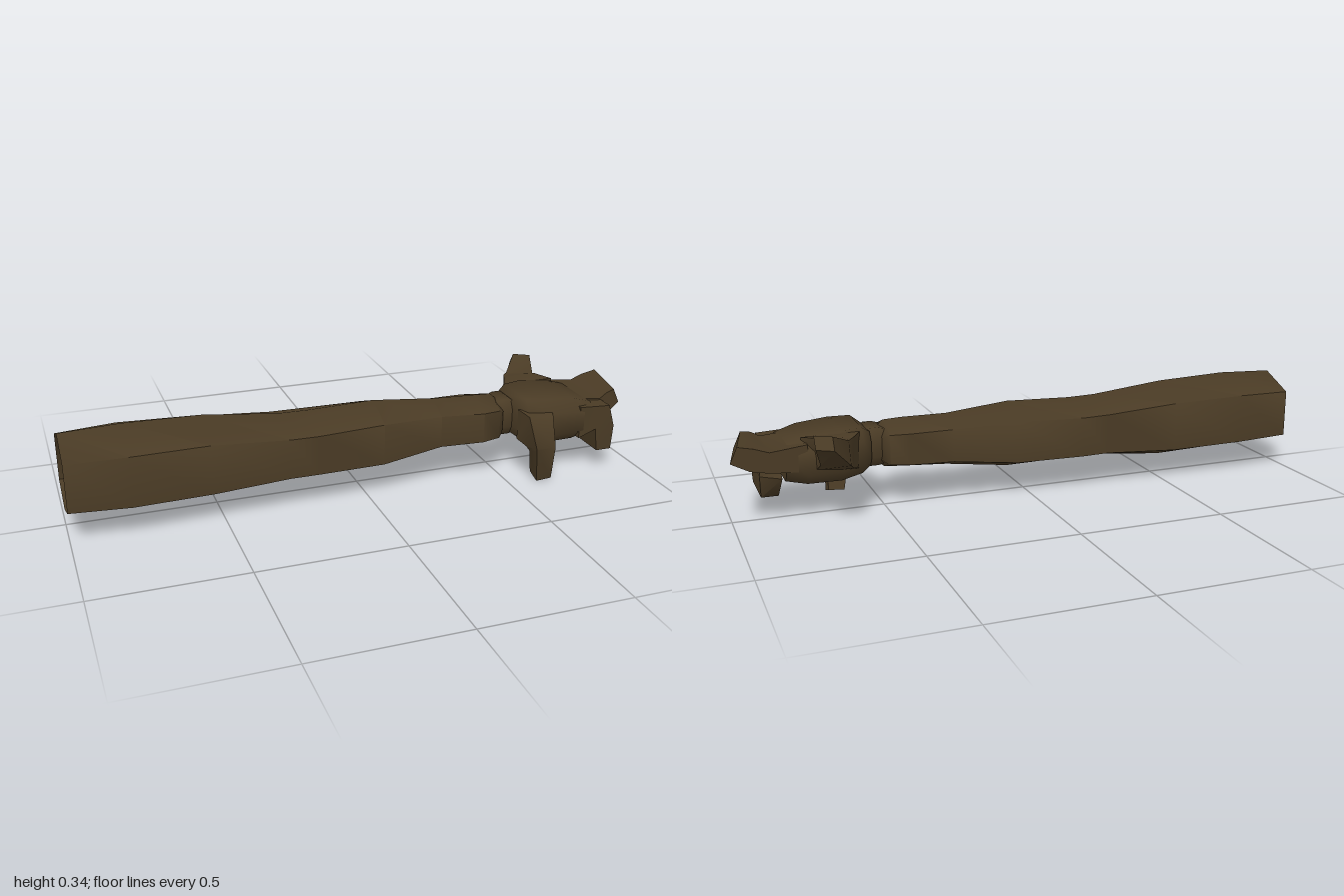
import * as THREE from 'three';
import { toCreasedNormals } from 'three/addons/utils/BufferGeometryUtils.js';

const brown = new THREE.MeshStandardMaterial({ color: 0x4a3b25, side: THREE.DoubleSide });
brown.name = 'dark brown';

// Skin a list of equal-length rings; caps are fans around each end centre.
function loft(name, rings, capStart = true) {
  const n = rings[0].length;
  const centre = (r) => r.reduce((s, p) => s.add(p), new THREE.Vector3()).divideScalar(n);
  const first = centre(rings[0]);
  const last = centre(rings[rings.length - 1]);
  const tris = [];
  for (let i = 0; i < rings.length - 1; i++) {
    for (let j = 0; j < n; j++) {
      const k = (j + 1) % n;
      const [a, b, c, d] = [rings[i][j], rings[i][k], rings[i + 1][k], rings[i + 1][j]];
      tris.push([a, b, c], [a, c, d]);
    }
  }
  for (let j = 0; j < n; j++) {
    const k = (j + 1) % n;
    const end = rings[rings.length - 1];
    tris.push([last, end[j], end[k]]);
    if (capStart) tris.push([first, rings[0][k], rings[0][j]]);
  }
  // Turn every face outwards, judged by the enclosed volume.
  let volume = 0;
  for (const [a, b, c] of tris) {
    const [p, q, r] = [a, b, c].map((v) => v.clone().sub(first));
    volume += p.dot(q.cross(r));
  }
  if (volume < 0) tris.forEach((t) => t.reverse());
  const geo = new THREE.BufferGeometry().setFromPoints(tris.flat());
  const mesh = new THREE.Mesh(toCreasedNormals(geo, 1.2), brown);
  mesh.name = name;
  return mesh;
}

// Upright hexagon with a ridge above and below.
function hexRing([x, y0, y1, z0, z1]) {
  const h = y1 - y0;
  const m = (z0 + z1) / 2;
  return [
    [y1, m], [y0 + 0.8 * h, z1], [y0 + 0.18 * h, z1],
    [y0, m], [y0 + 0.18 * h, z0], [y0 + 0.8 * h, z0],
  ].map(([y, z]) => new THREE.Vector3(x, y, z));
}

// Rectangle with chamfered corners.
function octRing([x, y0, y1, z0, z1]) {
  const h = (y1 - y0) * 0.25;
  const w = (z1 - z0) * 0.14;
  return [
    [y1, z0 + w], [y1, z1 - w], [y1 - h, z1], [y0 + h, z1],
    [y0, z1 - w], [y0, z0 + w], [y0 + h, z0], [y1 - h, z0],
  ].map(([y, z]) => new THREE.Vector3(x, y, z));
}

// Four-sided section: a centre and two half-widths.
function quadRing([c, u, v]) {
  return [[1, 1], [1, -1], [-1, -1], [-1, 1]].map(([s, t]) =>
    new THREE.Vector3(...c).addScaledVector(new THREE.Vector3(...u), s).addScaledVector(new THREE.Vector3(...v), t));
}

export function createModel() {
  const arm = new THREE.Group();
  arm.name = 'arm';

  // Sleeve, open at the shoulder: x, bottom, top, back, front
  arm.add(loft('sleeve', [
    [-1, 0.07, 0.335, -0.105, 0.16],
    [-0.8, 0.065, 0.343, -0.12, 0.178],
    [-0.54, 0.06, 0.335, -0.11, 0.157],
    [-0.28, 0.085, 0.307, -0.105, 0.157],
    [-0.18, 0.084, 0.305, -0.107, 0.155],
    [0.05, 0.08, 0.312, -0.09, 0.145],
    [0.27, 0.11, 0.29, -0.062, 0.115],
    [0.42, 0.117, 0.288, -0.062, 0.138],
    [0.485, 0.122, 0.285, -0.05, 0.127],
    [0.507, 0.14, 0.265, -0.02, 0.105],
  ].map(hexRing), false));

  // Wrist
  arm.add(loft('wrist', [
    [0.48, 0.15, 0.262, -0.015, 0.09],
    [0.515, 0.143, 0.272, -0.025, 0.1],
    [0.545, 0.143, 0.272, -0.025, 0.1],
    [0.565, 0.15, 0.262, -0.02, 0.095],
  ].map(octRing)));

  // Palm
  arm.add(loft('palm', [
    [0.545, 0.15, 0.265, -0.04, 0.11],
    [0.575, 0.13, 0.285, -0.065, 0.17],
    [0.65, 0.12, 0.283, -0.095, 0.19],
    [0.76, 0.12, 0.272, -0.09, 0.185],
    [0.83, 0.135, 0.25, -0.08, 0.178],
  ].map(octRing)));

  // Wide raised finger
  arm.add(loft('upperFingers', [
    [[0.76, 0.215, 0.015], [0, 0, 0.1], [0, 0.045, 0]],
    [[0.88, 0.213, 0.018], [0, 0, 0.105], [0, 0.034, 0]],
    [[0.925, 0.228, 0.016], [-0.01, 0, 0.104], [-0.008, 0.036, 0]],
    [[0.972, 0.247, 0.012], [-0.018, -0.002, 0.099], [-0.012, 0.026, 0]],
  ].map(quadRing)));

  // Wide finger curled down
  arm.add(loft('lowerFingers', [
    [[0.77, 0.19, 0.11], [0, 0, 0.072], [0, 0.058, 0]],
    [[0.86, 0.2, 0.1], [0, 0, 0.083], [0.025, 0.042, 0]],
    [[0.872, 0.15, 0.078], [0, 0.004, 0.106], [0.036, 0.008, 0]],
    [[0.875, 0.074, 0.092], [0, 0, 0.09], [0.028, 0, 0]],
  ].map(quadRing)));

  // Finger spread to the back
  arm.add(loft('backFinger', [
    [[0.68, 0.215, -0.05], [0.095, 0, 0], [0, 0.062, 0]],
    [[0.678, 0.228, -0.105], [0.058, 0, 0.012], [0, 0.055, -0.01]],
    [[0.688, 0.242, -0.147], [0.045, 0, 0.018], [0, 0.038, 0.012]],
    [[0.735, 0.3, -0.228], [0.026, 0, 0.016], [0, 0.02, 0.012]],
  ].map(quadRing)));

  // Thumb hanging at the front
  arm.add(loft('thumb', [
    [[0.612, 0.195, 0.13], [0.06, 0, 0], [0, 0.055, 0]],
    [[0.605, 0.19, 0.195], [0.045, 0, 0], [0, 0.056, 0.006]],
    [[0.612, 0.125, 0.212], [0.036, 0, 0], [0, 0.012, 0.027]],
    [[0.628, 0.012, 0.18], [0.028, 0.002, 0], [0, -0.008, 0.026]],
  ].map(quadRing)));

  return arm;
}
